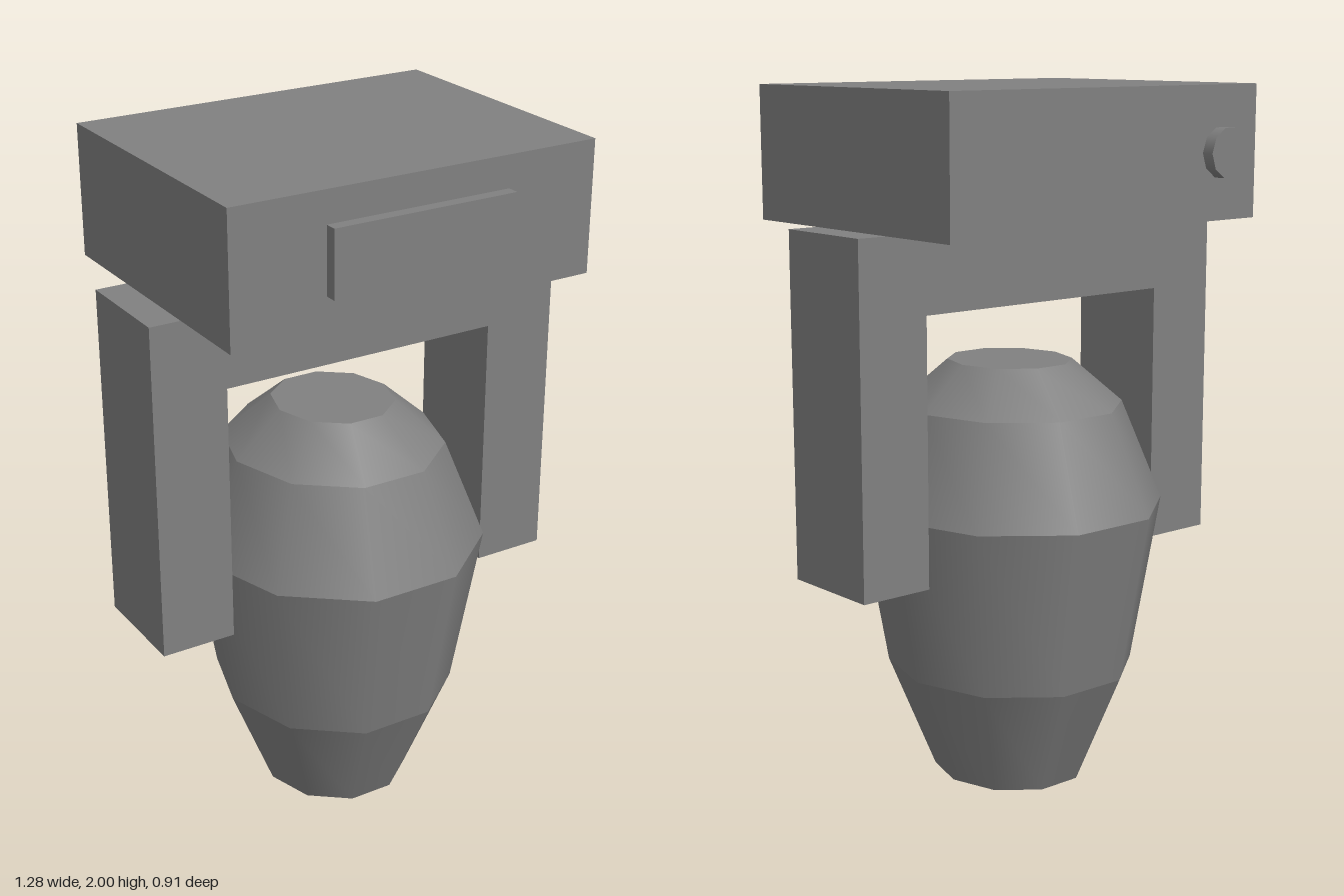
import * as THREE from 'three';

const grey = new THREE.MeshStandardMaterial({ color: 0x808080 });

function add(parent, name, geometry, x = 0, y = 0, z = 0) {
  const mesh = new THREE.Mesh(geometry, grey);
  mesh.name = name;
  mesh.position.set(x, y, z);
  parent.add(mesh);
  return mesh;
}

export function createModel() {
  const model = new THREE.Group();
  model.name = 'movingHeadLight';

  // Mounting base with display panel and rear connector
  add(model, 'base', new THREE.BoxGeometry(1.096, 0.373, 0.84), 0, 1.8135, 0);
  add(model, 'displayPanel', new THREE.BoxGeometry(0.548, 0.186, 0.04), 0, 1.817, 0.435);
  const knob = new THREE.CylinderGeometry(0.072, 0.072, 0.04, 10, 1, false, Math.PI / 10);
  add(model, 'rearConnector', knob, -0.411, 1.815, -0.436).rotation.x = -Math.PI / 2;

  // U-shaped yoke hanging from the base
  const outline = [
    [-0.638, 0.657], [-0.42, 0.657], [-0.42, 1.409], [0.42, 1.409],
    [0.42, 0.657], [0.638, 0.657], [0.638, 1.627], [-0.638, 1.627],
  ].map(([x, y]) => new THREE.Vector2(x, y));
  const yoke = new THREE.ExtrudeGeometry(new THREE.Shape(outline), { depth: 0.314, bevelEnabled: false });
  add(model, 'yoke', yoke, 0, 0, -0.157);

  // Lamp head: ten-sided bands from lens to rear cap, smooth around, creased between
  const head = new THREE.Group();
  head.name = 'lampHead';
  head.scale.z = 1.09;
  model.add(head);
  const profile = [
    [0, 0], [0.215, 0], [0.346, 0.33], [0.427, 0.818], [0.313, 1.104], [0.173, 1.228], [0, 1.228],
  ].map(([r, y]) => new THREE.Vector2(r, y));
  const names = ['lens', 'lensHousing', 'lowerBody', 'upperBody', 'shoulder', 'rearCap'];
  names.forEach((name, i) => {
    add(head, name, new THREE.LatheGeometry(profile.slice(i, i + 2), 10, Math.PI / 10));
  });

  return model;
}
